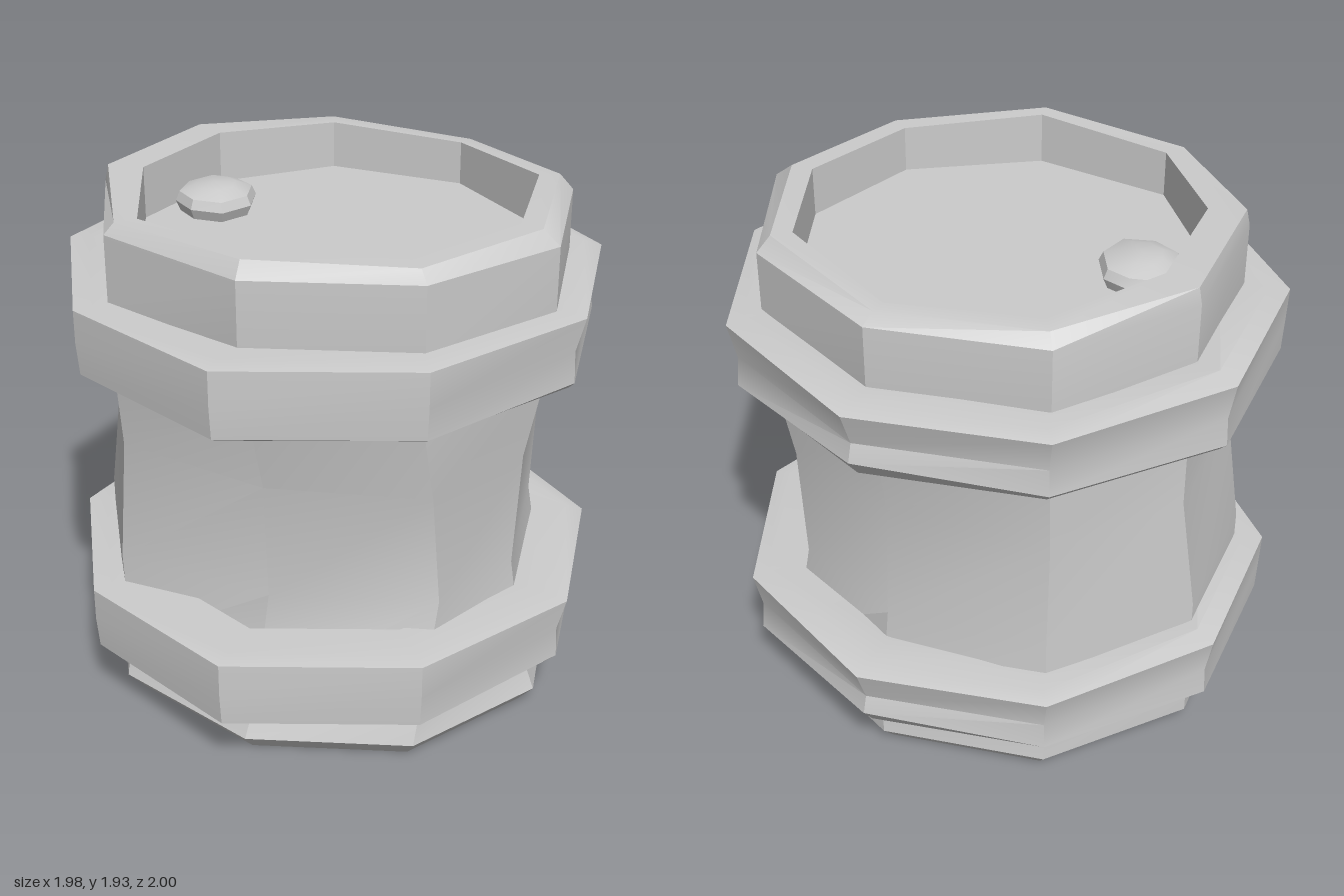
import * as THREE from 'three';
import { toCreasedNormals } from 'three/addons/utils/BufferGeometryUtils.js';

const material = new THREE.MeshStandardMaterial({ color: 0xcccccc });

// Nine-sided outlines as [x, z], running from +x towards +z
const BODY = [[0.88, 0], [0.67, 0.53], [0.13, 0.82], [-0.48, 0.73], [-0.83, 0.285],
  [-0.83, -0.29], [-0.48, -0.73], [0.13, -0.83], [0.67, -0.54]];
const HOOP = [[0.985, -0.02], [0.745, 0.63], [0.14, 1], [-0.54, 0.845], [-0.99, 0.32],
  [-0.99, -0.36], [-0.54, -0.88], [0.14, -1], [0.745, -0.66]];

// Outline at a height; scale and y may be numbers or one value per corner
function ring(outline, scale, y) {
  return outline.map(([x, z], i) => {
    const s = Array.isArray(scale) ? scale[i] : scale;
    return [x * s, Array.isArray(y) ? y[i] : y, z * s];
  });
}

// Skin a list of rings; a ring of scale 0 closes an end
function loft(name, rings) {
  const pos = [];
  const tri = (...pts) => {
    const [a, b, c] = pts.map(p => new THREE.Vector3(...p));
    if (b.clone().sub(a).cross(c.clone().sub(a)).length() > 1e-7) pts.forEach(p => pos.push(...p));
  };
  for (let r = 0; r + 1 < rings.length; r++) {
    const lo = rings[r], hi = rings[r + 1], n = lo.length;
    for (let i = 0; i < n; i++) {
      const j = (i + 1) % n;
      tri(lo[i], hi[i], lo[j]);
      tri(lo[j], hi[i], hi[j]);
    }
  }
  const geometry = new THREE.BufferGeometry();
  geometry.setAttribute('position', new THREE.Float32BufferAttribute(pos, 3));
  const mesh = new THREE.Mesh(toCreasedNormals(geometry, THREE.MathUtils.degToRad(30)), material);
  mesh.name = name;
  return mesh;
}

// Body cross-section with the individual corners pushed in or out
function stave(y, x0, z1, z2, z3, xLeft, z6, z7, x8, scale = 1) {
  const p = BODY.map(([x, z]) => [x, z]);
  p[0][0] = x0;
  p[1][1] = z1;
  p[2][1] = z2;
  p[3][1] = z3;
  p[4][0] = p[5][0] = xLeft;
  p[6][1] = z6;
  p[7][1] = z7;
  p[8][0] = x8;
  return ring(p, scale, y);
}

// Underside recess, cut off by a straight chord at the front corner
function recess(cornerY, y) {
  const p = ring(BODY, 0.925, y);
  p[0][1] = cornerY;
  for (const [k, t] of [[1, 1 / 3], [2, 2 / 3]]) {
    p[k] = p[0].map((v, a) => v + (p[3][a] - v) * t);
  }
  return p;
}

function createBody() {
  // Uneven upper rim
  const rimY = [1.92, 1.91, 1.93, 1.91, 1.93, 1.93, 1.915, 1.9, 1.93];
  const bevel = [0.925, 0.94, 0.955, 0.955, 0.985, 0.985, 0.95, 0.93, 0.94];
  const opening = [0.83, 0.85, 0.875, 0.86, 0.83, 0.83, 0.86, 0.86, 0.85];
  const foot = [0.88, 0.55, 0.84, 0.75, -0.885, -0.74, -0.83, 0.67];
  return loft('barrelBody', [
    ring(BODY, 0, 0.22), recess(0.01, 0.22), recess(0, 0),
    stave(0, ...foot, 0.93),
    stave(0.07, ...foot),
    stave(0.22, 0.82, 0.5, 0.76, 0.72, -0.885, -0.72, -0.83, 0.63),
    stave(0.6, 0.76, 0.385, 0.67, 0.74, -0.885, -0.735, -0.75, 0.56),
    stave(1.05, 0.785, 0.45, 0.69, 0.69, -0.82, -0.715, -0.72, 0.58),
    stave(1.36, 0.85, 0.53, 0.77, 0.72, -0.82, -0.73, -0.78, 0.65),
    stave(1.6, 0.88, 0.53, 0.82, 0.73, -0.83, -0.73, -0.83, 0.67),
    ring(BODY, 1, 1.87),
    ring(BODY, bevel, rimY),
    ring(BODY, opening, rimY),
    ring(BODY, opening, 1.735),
    ring(BODY, 0, 1.735),
  ]);
}

// Dented hoop: pinched at mid-height and chamfered deeper round the back
function createHoop(name, y) {
  const pinch = [0.965, 1, 1, 1, 0.995, 0.975, 0.96, 0.95, 0.97];
  const foot = [0.97, 0.99, 0.99, 0.99, 0.99, 0.98, 0.97, 0.97, 0.98];
  const sole = [0.95, 0.95, 0.955, 0.95, 0.97, 0.95, 0.93, 0.92, 0.95];
  const lift = [0, 0, 0, 0, 0, 0.01, 0.02, 0.05, 0.005];
  const crest = [0, 0, 0, -0.02, 0, 0.03, 0, 0.015, 0.02];
  return loft(name, [
    ring(HOOP, 0.76, y + 0.01),
    ring(HOOP, sole, y),
    ring(HOOP, foot, lift.map(l => y + 0.02 + l)),
    ring(HOOP, pinch, y + 0.14),
    ring(HOOP, 1, crest.map(c => y + 0.27 + c * 0.3)),
    ring(HOOP, 0.93, crest.map(c => y + 0.28 + c)),
    ring(HOOP, 0.76, y + 0.28),
  ]);
}

// Small rounded, slightly lopsided stopper on the lid
function createStopper() {
  const outline = [[0.16, 0], [0.12, 0.125], [0, 0.155], [-0.11, 0.1],
    [-0.15, -0.02], [-0.115, -0.13], [0, -0.155], [0.1, -0.12]];
  const stopper = loft('stopper', [
    ring(outline, 0.85, -0.02), ring(outline, 1, 0.035),
    ring(outline, 0.9, 0.07), ring(outline, 0.5, 0.095), ring(outline, 0, 0.1),
  ]);
  stopper.position.set(-0.53, 1.74, 0.015);
  return stopper;
}

export function createModel() {
  const group = new THREE.Group();
  group.name = 'barrel';
  group.add(createBody(), createHoop('lowerHoop', 0.22), createHoop('upperHoop', 1.355), createStopper());
  return group;
}
